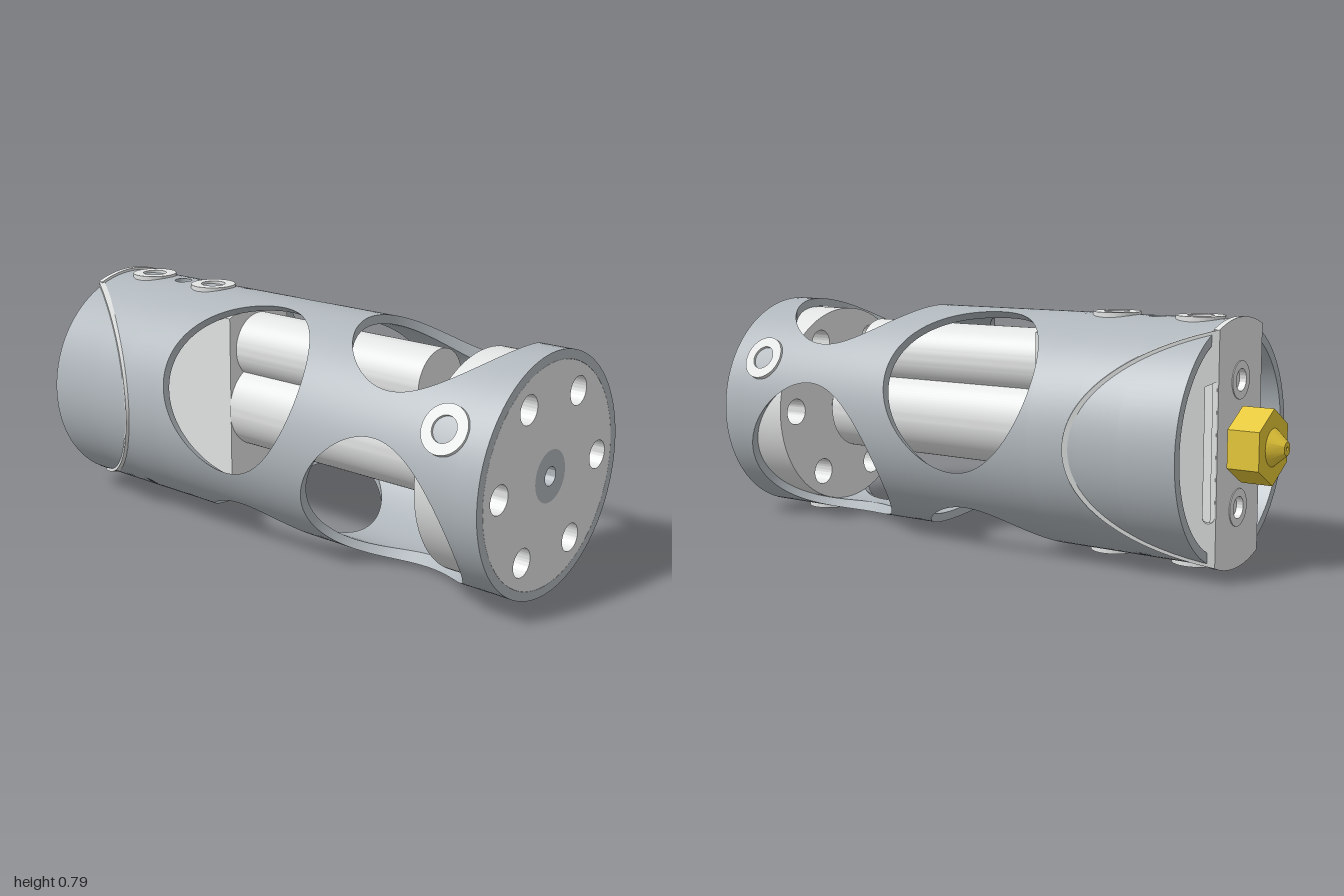
import * as THREE from 'three';
import { toCreasedNormals } from 'three/addons/utils/BufferGeometryUtils.js';

const R_OUT = 0.385, R_IN = 0.355, R_CLIP = 0.394;

const mat = (name, color) => Object.assign(new THREE.MeshStandardMaterial({ color }), { name });

// Circle of radius r, or a hole of that radius at (x, y)
const circle = (Type, r, x = 0, y = 0) => new Type().absarc(x, y, r, 0, Math.PI * 2, false);

// Extrude a shape with round holes [r, x, y] from z0 up to z1
function slab(shape, holes, z0, z1) {
  for (const h of holes) shape.holes.push(circle(THREE.Path, ...h));
  const g = new THREE.ExtrudeGeometry(shape, { depth: z1 - z0, bevelEnabled: false, curveSegments: 48 });
  return toCreasedNormals(g.translate(0, 0, z0), 0.5);
}
const disc = (r, holes, z0, z1) => slab(circle(THREE.Shape, r), holes, z0, z1);

// Strip of a circle between x0 and x1, optionally stretched along x from x0
function circleStrip(x0, x1, r, stretch = 1) {
  const top = [], n = 32;
  for (let i = 0; i <= n; i++) {
    const x = x0 + (x1 - x0) * Math.sin((i / n) * Math.PI / 2);
    top.push([(x - (stretch === 1 ? 0 : x0)) * stretch, Math.sqrt(Math.max(0, r * r - x * x))]);
  }
  const pts = top.map(([x, y]) => new THREE.Vector2(x, -y));
  for (const [x, y] of top.reverse()) pts.push(new THREE.Vector2(x, y));
  return new THREE.Shape(pts);
}

// Curved wall panel with a straight-drilled round hole in its middle
function panel(angle, half, z, halfZ, r) {
  const n = Math.round((half / Math.PI) * 96), steps = n / 2, K = n * 4;
  const pos = [], nor = [], idx = [];
  const hole = (k) => ((k - n / 2) / K) * Math.PI * 2;
  const edge = (k) => {
    const f = -1 + (2 * (k % n)) / n;
    return [[1, f], [-f, 1], [-1, -f], [f, -1]][Math.floor(k / n) % 4];
  };
  const grid = (rows, flip, vertex) => {
    const base = pos.length / 3;
    for (let k = 0; k <= K; k++) for (let j = 0; j <= rows; j++) vertex(k, j);
    for (let k = 0; k < K; k++) for (let j = 0; j < rows; j++) {
      const a = base + k * (rows + 1) + j, b = a + 1, d = a + rows + 1, c = d + 1;
      idx.push(...(flip ? [a, c, b, a, d, c] : [a, b, c, a, c, d]));
    }
  };
  const holeAngle = (k, R) => Math.asin((r * Math.cos(hole(k))) / R);
  for (const [R, s] of [[R_OUT, 1], [R_IN, -1]]) {
    grid(steps, s < 0, (k, j) => {
      const [ex, ez] = edge(k), t = j / steps;
      const a = angle + THREE.MathUtils.lerp(holeAngle(k, R), ex * half, t);
      pos.push(R * Math.cos(a), R * Math.sin(a), z + THREE.MathUtils.lerp(r * Math.sin(hole(k)), ez * halfZ, t));
      nor.push(s * Math.cos(a), s * Math.sin(a), 0);
    });
  }
  // Cut wall of the hole
  grid(1, true, (k, j) => {
    const R = j ? R_IN : R_OUT, a = angle + holeAngle(k, R), c = Math.cos(hole(k));
    pos.push(R * Math.cos(a), R * Math.sin(a), z + r * Math.sin(hole(k)));
    nor.push(c * Math.sin(angle), -c * Math.cos(angle), -Math.sin(hole(k)));
  });
  const g = new THREE.BufferGeometry();
  g.setAttribute('position', new THREE.Float32BufferAttribute(pos, 3));
  g.setAttribute('normal', new THREE.Float32BufferAttribute(nor, 3));
  g.setIndex(idx);
  return g;
}

export function createModel() {
  const slate = mat('slate grey', 0xb0b7bc);
  const silver = mat('light silver', 0xe2e3e3);
  const brass = mat('brass', 0xe6c838);
  const model = new THREE.Group();
  const body = new THREE.Group();
  body.name = 'body';
  body.position.y = 0.397;
  model.add(body);
  const add = (name, geometry, material, parent = body) => {
    const m = new THREE.Mesh(geometry, material);
    m.name = name;
    parent.add(m);
    return m;
  };
  const deg = Math.PI / 180;

  // Outer tube: plain bands, two staggered rows of windows, pin holes
  for (const [z0, z1] of [[0.915, 1], [-0.475, -0.305], [-0.82, -0.625]])
    add('tubeBand', disc(R_OUT, [[R_IN]], z0, z1), slate);
  for (const a of [90, 210, 330]) {
    add('frontWindowPanel', panel(a * deg, 60 * deg, 0.61, 0.305, 0.29), slate);
    add('rearWindowPanel', panel((a + 180) * deg, 60 * deg, 0, 0.305, 0.29), slate);
  }
  for (const a of [90, 270])
    add('pinHolePanel', panel(a * deg, 90 * deg, -0.55, 0.075, 0.03), slate);

  // Screw washers around the tube
  const washers = [[30, 0.85], [150, 0.85], [270, 0.85]];
  for (const a of [90, 270]) washers.push([a, -0.4], [a, -0.7]);
  for (const [a, z] of washers) {
    const pivot = new THREE.Group();
    pivot.name = 'washerMount';
    pivot.rotation.z = a * deg;
    body.add(pivot);
    const w = add('washer', disc(0.078, [[0.042]], 0.37, 0.393), silver, pivot);
    w.rotation.y = Math.PI / 2;
    w.position.z = z;
  }

  // Front end cap with six holes and a collar through its middle
  const capHoles = [[0.083]];
  for (let i = 0; i < 6; i++)
    capHoles.push([0.046, 0.273 * Math.cos(i * 60 * deg), 0.273 * Math.sin(i * 60 * deg)]);
  add('endCap', disc(0.3545, capHoles, 0.76, 1), silver);
  add('collar', disc(0.083, [[0.03]], 0.7, 1), slate);

  // Inner barrel, upper cylinder and rear block
  add('barrel', disc(0.15, [[0.03]], -0.18, 0.7), silver);
  add('upperCylinder', disc(0.115, [], -0.18, 0.59), silver).position.y = 0.208;
  add('rearBlock', slab(circleStrip(-0.145, 0.145, 0.3545), [[0.03]], -0.82, -0.18), silver);

  // Folded rear bracket: flat plate and two slanted wings with slots
  add('bracketPlate', slab(circleStrip(-0.15, 0.15, R_CLIP), [[0.03], [0.035, 0, 0.2], [0.035, 0, -0.2]], -0.84, -0.82), silver);
  for (const y of [-0.2, 0.2])
    add('plateWasher', disc(0.06, [[0.035]], -0.843, -0.84), silver).position.y = y;
  const run = R_CLIP - 0.15, rise = 0.4;
  const wingShape = circleStrip(0.15, R_CLIP, R_CLIP, Math.hypot(run, rise) / run);
  wingShape.holes.push(new THREE.Path()
    .absarc(0.022, 0.207, 0.018, 0, Math.PI, false)
    .absarc(0.022, -0.207, 0.018, Math.PI, Math.PI * 2, false));
  const wingGeometry = slab(wingShape, [], 0, 0.02);
  for (const turn of [0, Math.PI]) {
    const side = new THREE.Group();
    side.name = turn ? 'rightWing' : 'leftWing';
    side.rotation.z = turn;
    body.add(side);
    const wing = add('wing', wingGeometry, silver, side);
    wing.position.set(0.15, 0, -0.84);
    wing.rotation.y = -Math.atan2(rise, run);
  }

  // Hexagonal nozzle with a hollow cone tip
  add('nozzleNeck', disc(0.078, [[0.03]], -0.855, -0.84), brass);
  const hex = new THREE.Shape([0, 1, 2, 3, 4, 5].map((i) =>
    new THREE.Vector2(0.12 * Math.cos((90 + 60 * i) * deg), 0.12 * Math.sin((90 + 60 * i) * deg))));
  add('nozzleHex', slab(hex, [[0.03]], -0.955, -0.85), brass);
  const tip = [[0.06, 0.955], [0.022, 1], [0.006, 1], [0.006, 0.985], [0.03, 0.955]]
    .map(([x, y]) => new THREE.Vector2(x, y));
  add('nozzleTip', toCreasedNormals(new THREE.LatheGeometry(tip, 32), 0.5), brass).rotation.x = -Math.PI / 2;

  return model;
}
